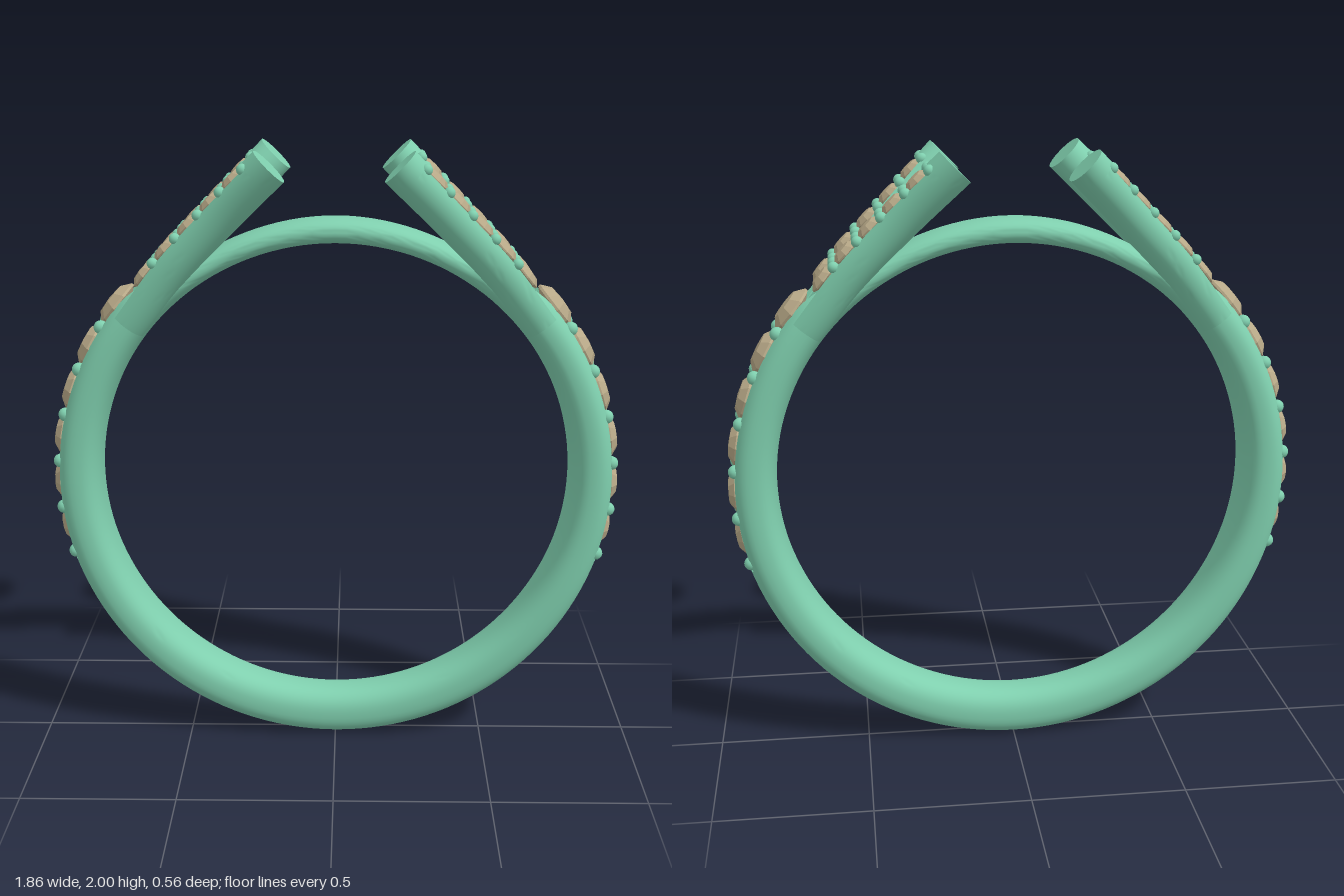
import * as THREE from 'three';
import { toCreasedNormals } from 'three/addons/utils/BufferGeometryUtils.js';

const CENTRE_Y = 0.93;
const metal = new THREE.MeshStandardMaterial({ color: 0x7fcfae });
const stone = new THREE.MeshStandardMaterial({ color: 0xb8a988, flatShading: true });
const V = (x, y, z) => new THREE.Vector3(x, y, z);

// Smooth interpolation through [key, value] stops
function ramp(stops, t) {
  for (let i = 1; i < stops.length; i++) {
    const [a, va] = stops[i - 1], [b, vb] = stops[i];
    if (t <= b) return va + (vb - va) * THREE.MathUtils.smoothstep(t, a, b);
  }
  return stops[stops.length - 1][1];
}

// Rounded section; its outer face is either kept or cut down to a flat channel floor
function section({ P, N, B, hw, hn, w, floor, p }) {
  const pts = [], phi0 = Math.asin(Math.pow(w / hw, p / 2)), arc = 28, cap = 10;
  const pow = v => Math.sign(v) * Math.pow(Math.abs(v), 2 / p);
  const put = (n, b) => pts.push(P.clone().addScaledVector(N, n).addScaledVector(B, b));
  for (let i = 0; i <= arc; i++) {
    const f = phi0 + (2 * Math.PI - 2 * phi0) * i / arc;
    put(hn * pow(Math.cos(f)), hw * pow(Math.sin(f)));
  }
  for (let i = 0; i <= cap; i++) {
    const k = 2 * i / cap - 1, f = phi0 * k;
    if (floor !== null) put(floor, w * k);
    else put(hn * pow(Math.cos(f)), hw * pow(Math.sin(f)));
  }
  return pts;
}

// Skin a list of sections, closed into a loop or capped at both ends
function loft(frames, closed) {
  const rings = frames.map(section), m = rings[0].length, pos = [], idx = [];
  rings.forEach(r => r.forEach(q => pos.push(q.x, q.y, q.z)));
  const count = closed ? rings.length : rings.length - 1;
  for (let i = 0; i < count; i++) {
    const i2 = (i + 1) % rings.length;
    for (let j = 0; j < m; j++) {
      const j2 = (j + 1) % m;
      const a = i * m + j, b = i * m + j2, c = i2 * m + j2, d = i2 * m + j;
      idx.push(a, b, c, a, c, d);
    }
  }
  if (!closed) {
    const last = (rings.length - 1) * m, c0 = pos.length / 3;
    for (const f of [frames[0], frames[frames.length - 1]]) pos.push(f.P.x, f.P.y, f.P.z);
    for (let j = 0; j < m; j++) {
      const j2 = (j + 1) % m;
      idx.push(c0, j2, j, c0 + 1, last + j, last + j2);
    }
  }
  const g = new THREE.BufferGeometry();
  g.setAttribute('position', new THREE.Float32BufferAttribute(pos, 3));
  g.setIndex(idx);
  return toCreasedNormals(g, 0.6);
}

// Band: e is the elevation in degrees, -90 at the bottom and 90 at the top bridge
function shankGeometry() {
  const list = [-18, -17.9, 50, 50.1];
  for (let e = -90; e <= 90; e += 2.5) list.push(e);
  list.sort((a, b) => a - b);
  const left = list.slice(1, -1);
  const angles = [-90, ...left, 90, ...left.slice().reverse().map(e => 180 - e)];
  const frames = angles.map(deg => {
    const e = deg > 90 ? 180 - deg : deg, a = deg * Math.PI / 180;
    const outer = ramp([[-90, 0.93], [-20, 0.915], [40, 0.908], [62, 0.845], [90, 0.85]], e);
    const mid = (outer + 0.77) / 2;
    const N = V(Math.cos(a), Math.sin(a), 0);
    return {
      P: V(0, CENTRE_Y, 0).addScaledVector(N, mid), N, B: V(0, 0, -1),
      hw: ramp([[-90, 0.085], [-20, 0.108], [40, 0.118], [65, 0.09], [90, 0.09]], e),
      hn: (outer - 0.77) / 2, w: 0.075, p: 2.5,
      floor: e > -17.95 && e < 50.05 ? Math.min(0.865, outer - 0.03) - mid : null,
    };
  });
  return loft(frames, true);
}

// Split arm: a tube section leaning outward, side sx and front/back sz
function armFrame(curve, u, sx) {
  const T = curve.getTangentAt(u).setZ(0).normalize();
  const N = V(T.y, -T.x, 0).multiplyScalar(sx);
  return { P: curve.getPointAt(u), N, B: T.clone().cross(N) };
}

function armGeometry(curve, sx) {
  const us = [0.92, 0.921];
  for (let i = 0; i <= 24; i++) us.push(i / 24);
  us.sort((a, b) => a - b);
  return loft(us.map(u => ({
    ...armFrame(curve, u, sx), hw: 0.065 + 0.015 * u, hn: 0.064, w: 0.052, p: 2.1,
    floor: u < 0.9205 ? 0.022 : null,
  })), false);
}

export function createModel() {
  const model = new THREE.Group();
  const gemGeo = new THREE.LatheGeometry(
    [[0, -0.5], [1, 0], [1, 0.1], [0.62, 0.4], [0, 0.45]].map(q => new THREE.Vector2(...q)), 10);
  const beadGeo = new THREE.SphereGeometry(1, 14, 10);
  const add = (parent, name, geo, mat) => {
    const mesh = new THREE.Mesh(geo, mat);
    mesh.name = name;
    parent.add(mesh);
    return mesh;
  };
  const setOn = (parent, name, geo, mat, P, N, r) => {
    const mesh = add(parent, name, geo, mat);
    mesh.position.copy(P);
    mesh.quaternion.setFromUnitVectors(V(0, 1, 0), N);
    mesh.scale.setScalar(r);
  };

  add(model, 'band', shankGeometry(), metal);

  for (const sx of [1, -1]) {
    const side = sx > 0 ? 'left' : 'right';
    const row = new THREE.Group();
    row.name = side + 'StoneRow';
    model.add(row);

    // Large stones along the band, with paired beads in the gaps
    const at = (deg, r, z) => {
      const a = deg * Math.PI / 180;
      return [V(sx * r * Math.cos(a), CENTRE_Y + r * Math.sin(a), z), V(sx * Math.cos(a), Math.sin(a), 0)];
    };
    for (let i = 0; i < 6; i++) {
      const deg = -11.3 + 10.1 * i;
      setOn(row, 'bandStone', gemGeo, stone, ...at(deg, 0.897, 0), 0.066 + 0.003 * i);
      for (const s of [1, -1])
        setOn(row, 'bandBead', beadGeo, metal, ...at(deg - 5, 0.9, s * 0.06), 0.023);
    }

    // Two split arms with their own channels, small stones and beads
    for (const sz of [1, -1]) {
      const arm = new THREE.Group();
      arm.name = side + (sz > 0 ? 'Front' : 'Back') + 'Arm';
      model.add(arm);
      const curve = new THREE.CatmullRomCurve3([
        [0.66, 1.45, 0.055], [0.52, 1.625, 0.085], [0.36, 1.79, 0.125], [0.195, 1.955, 0.2],
      ].map(([x, y, z]) => V(sx * x, y, sz * z)));
      add(arm, 'armTube', armGeometry(curve, sx), metal);
      for (let i = 0; i < 5; i++) {
        const u = 0.235 + 0.15 * i;
        const f = armFrame(curve, u, sx);
        setOn(arm, 'armStone', gemGeo, stone, f.P.clone().addScaledVector(f.N, 0.046), f.N, 0.05 - 0.001 * i);
        const g = armFrame(curve, u + 0.075, sx);
        for (const s of [1, -1]) {
          const P = g.P.clone().addScaledVector(g.N, 0.05).addScaledVector(g.B, s * 0.043);
          setOn(arm, 'armBead', beadGeo, metal, P, g.N, 0.018);
        }
      }
    }
  }
  return model;
}
